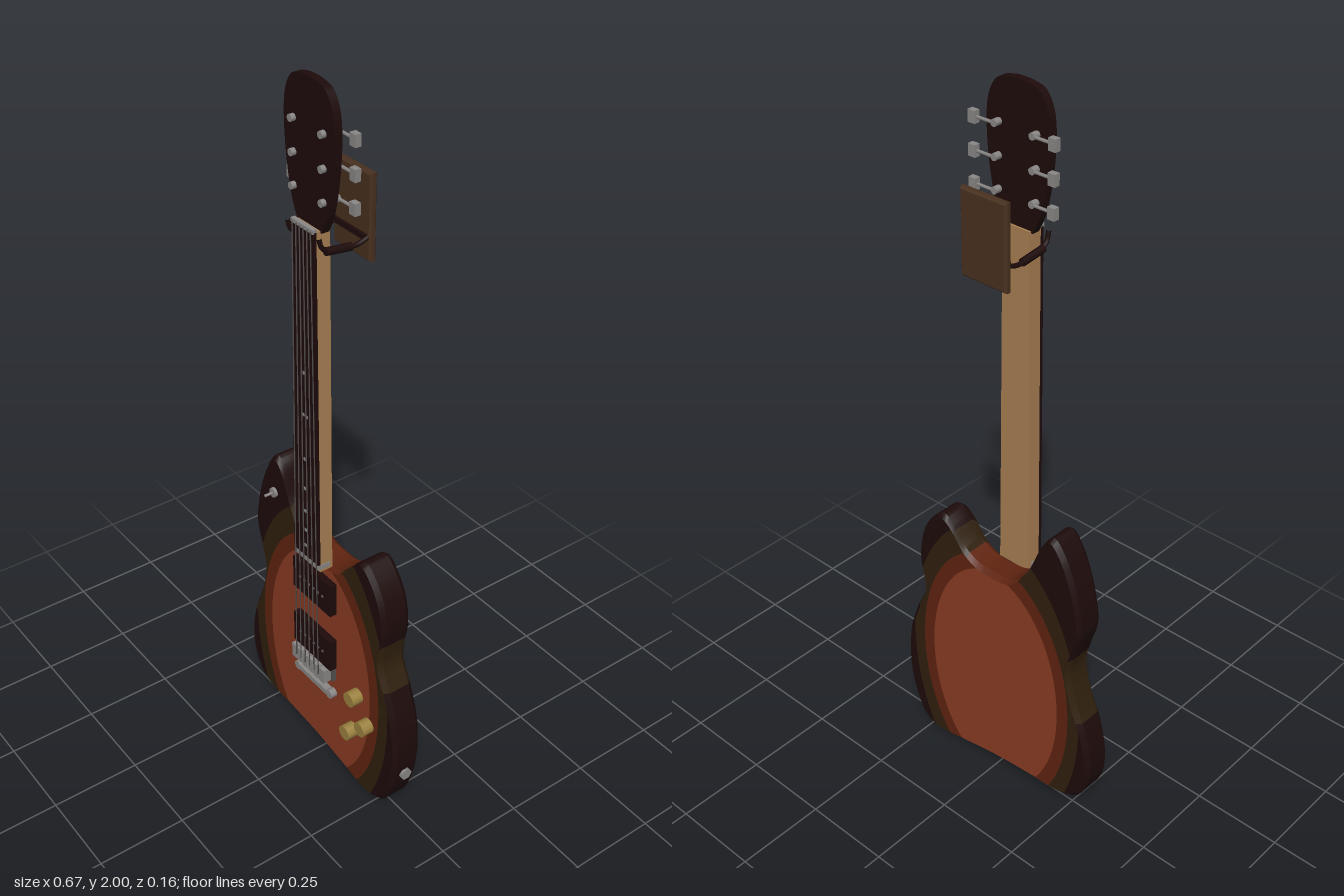
import * as THREE from 'three';
import { toCreasedNormals } from 'three/addons/utils/BufferGeometryUtils.js';

function paint(name, color, double = false) {
  const m = new THREE.MeshStandardMaterial({ color });
  m.name = name;
  if (double) m.side = THREE.DoubleSide;
  return m;
}

const V = (x, y) => new THREE.Vector2(x, y);

export function createModel() {
  const guitar = new THREE.Group();
  guitar.name = 'electricGuitar';
  const amber = paint('amber centre', 0x8a3c22);
  const red = paint('red brown', 0x602410);
  const olive = paint('dark olive', 0x30200e);
  const dark = paint('dark brown', 0x1e0b0b);
  const maple = paint('neck wood', 0xa87e52);
  const gold = paint('gold', 0x9c8240);
  const metal = paint('metal', 0x8a8886);
  const stringGrey = paint('string grey', 0x565050);
  const plateBrown = paint('hanger wood', 0x48301e);

  function add(name, geometry, material, x = 0, y = 0, z = 0, parent = guitar) {
    const mesh = new THREE.Mesh(geometry, material);
    mesh.name = name;
    mesh.position.set(x, y, z);
    parent.add(mesh);
    return mesh;
  }
  const box = (name, m, w, h, d, x, y, z, parent) =>
    add(name, new THREE.BoxGeometry(w, h, d), m, x, y, z, parent);
  // Cylinder along the x, y or z axis
  function rod(name, m, r, length, axis, x, y, z, sides = 10) {
    const g = new THREE.CylinderGeometry(r, r, length, sides);
    if (axis === 'x') g.rotateZ(Math.PI / 2);
    if (axis === 'z') g.rotateX(Math.PI / 2);
    return add(name, g, m, x, y, z);
  }

  // Body: rays from the centre of the sunburst out to the outline
  const outline = [
    [-.196, .905], [-.228, .87], [-.256, .81], [-.28, .73], [-.29, .65], [-.272, .58], [-.258, .51],
    [-.28, .41], [-.315, .32], [-.334, .23], [-.328, .15], [-.295, .085], [-.25, .061],
    [-.13, .05], [0, .037], [.12, .018], [.22, .004], [.275, .024], [.312, .095],
    [.334, .2], [.328, .32], [.296, .42], [.262, .5], [.264, .555], [.274, .62],
    [.262, .70], [.222, .767], [.185, .794], [.153, .773], [.106, .718], [.06, .695],
    [0, .692], [-.05, .699], [-.088, .727], [-.132, .80], [-.172, .888]
  ].map(p => new THREE.Vector3(p[0], p[1], 0));
  const curve = new THREE.CatmullRomCurve3(outline, true, 'centripetal');
  const cy = .33, N = 288, bevel = .013, front = .04, back = -.047;
  const ellipses = [[.225, .365], [.262, .414], [.30, .5]];
  const rays = curve.getPoints(N).map(p => {
    const dx = p.x, dy = p.y - cy, r = Math.hypot(dx, dy);
    const c = dx / r, s = dy / r, edge = r - bevel;
    const radii = ellipses.map(([a, b]) => 1 / Math.hypot(c / a, s / b));
    return { c, s, r, edge, radii, rings: [0, ...radii.map(q => Math.min(q, edge)), edge] };
  });
  const bandMaterials = [amber, red, olive, dark];
  const bandNames = ['bodyCentre', 'bodyRedBand', 'bodyOliveBand', 'bodyDarkEdge'];
  const bands = [[], [], [], []];
  const at = (ray, r, z) => [ray.c * r, cy + ray.s * r, z];
  function quad(band, a, b, c, d) {
    bands[band].push(...a, ...b, ...c, ...a, ...c, ...d);
  }
  for (let i = 0; i < N; i++) {
    const a = rays[i], b = rays[i + 1];
    for (let k = 0; k < 4; k++) {
      const [a0, a1, b0, b1] = [a.rings[k], a.rings[k + 1], b.rings[k], b.rings[k + 1]];
      if (a1 - a0 < 1e-5 && b1 - b0 < 1e-5) continue;
      quad(k, at(a, a0, front), at(a, a1, front), at(b, b1, front), at(b, b0, front));
      quad(k, at(a, a0, back), at(b, b0, back), at(b, b1, back), at(a, a1, back));
    }
    // Bevels and side wall take the band the outline lies in
    const side = a.r < a.radii[1] ? 1 : a.r < a.radii[2] ? 2 : 3;
    const profile = [[-bevel, front], [0, front - bevel], [0, back + bevel], [-bevel, back]];
    for (let k = 0; k < 3; k++) {
      const [p, z0] = profile[k], [q, z1] = profile[k + 1];
      quad(side, at(a, a.r + p, z0), at(a, a.r + q, z1), at(b, b.r + q, z1), at(b, b.r + p, z0));
    }
  }
  bands.forEach((positions, k) => {
    const g = new THREE.BufferGeometry();
    g.setAttribute('position', new THREE.Float32BufferAttribute(positions, 3));
    add(bandNames[k], toCreasedNormals(g, .5), bandMaterials[k]);
  });

  // Neck and fingerboard, tapering toward the nut
  const mid = -.004;
  function tapered(name, m, y0, y1, w0, w1, z0, z1) {
    const shape = new THREE.Shape([V(-w0, y0), V(w0, y0), V(w1, y1), V(-w1, y1)]);
    add(name, new THREE.ExtrudeGeometry(shape, { depth: z1 - z0, bevelEnabled: false }), m, mid, 0, z0);
  }
  tapered('neck', maple, .69, 1.655, .05, .041, .03, .069);
  tapered('fingerboard', dark, .715, 1.655, .052, .043, .069, .076);
  box('fingerboardEnd', metal, .104, .014, .036, mid, .706, .057);
  box('nut', metal, .086, .01, .012, mid, 1.657, .073);

  // Position marks
  for (const [x, y] of [[0, 1.27], [-.008, 1.15], [.008, 1.15], [0, 1.02], [0, .93],
    [0, .86], [0, .80], [0, .75]]) {
    box('fretMarker', metal, .012, .008, .002, mid + x, y, .0765);
  }

  // Headstock
  const half = [[.046, 1.65], [.068, 1.70], [.085, 1.78], [.093, 1.87], [.088, 1.94], [.065, 1.985], [.03, 1.998]];
  const head = new THREE.Shape();
  head.moveTo(-.046, 1.65);
  head.lineTo(.046, 1.65);
  head.splineThru([...half.slice(1).map(p => V(p[0], p[1])), V(0, 2),
    ...half.map(p => V(-p[0], p[1])).reverse()]);
  add('headstock', new THREE.ExtrudeGeometry(head, { depth: .021, bevelEnabled: false, curveSegments: 40 }),
    dark, mid, 0, .036);

  // Tuners, three on each side
  for (const s of [-1, 1]) for (const y of [1.73, 1.81, 1.89]) {
    rod('tunerPost', metal, .009, .052, 'z', mid + s * .056, y, .043);
    rod('tunerShaft', metal, .004, .055, 'x', mid + s * .083, y, .02, 6);
    box('tunerKnob', metal, .021, .03, .016, mid + s * .118, y, .02);
  }

  // Strings
  for (let i = 0; i < 6; i++) {
    const t = i / 5 - .5;
    const path = new THREE.LineCurve3(new THREE.Vector3(mid + t * .1, .34, .077),
      new THREE.Vector3(mid + t * .07, 1.657, .08));
    add('string', new THREE.TubeGeometry(path, 1, .0018, 5), stringGrey);
  }

  // Pickups with pole pieces
  for (const y of [.606, .415]) {
    box('pickup', dark, .165, .1, .022, mid, y, .05);
    for (let i = 0; i < 6; i++)
      rod('polePiece', stringGrey, .004, .004, 'z', mid + (i - 2.5) * .02, y, .062, 8);
  }

  // Bridge saddles and tailpiece
  box('bridgeBase', stringGrey, .16, .046, .012, mid, .343, .045);
  for (let i = 0; i < 6; i++) box('saddle', metal, .02, .044, .028, mid + (i - 2.5) * .025, .343, .062);
  box('tailpiece', metal, .15, .016, .02, mid, .272, .05);
  for (const s of [-1, 1]) rod('tailpieceStud', metal, .014, .02, 'z', mid + s * .072, .272, .049);

  // Control knobs
  for (const [x, y] of [[.175, .342], [.222, .27], [.157, .205]])
    rod('controlKnob', gold, .022, .034, 'z', x, y, .056, 12);

  // Strap button and output jack
  rod('strapButtonBase', metal, .014, .009, 'z', -.196, .79, .044);
  rod('strapButtonPin', metal, .004, .034, 'z', -.196, .79, .055, 8);
  rod('outputJack', metal, .018, .014, 'x', .331, .155, 0, 6);

  // Wall hanger: plate and two padded arms cradling the headstock
  const plate = new THREE.Shape([V(-.065, -.105), V(.065, -.105), V(.065, .105), V(-.065, .105)]);
  add('hangerPlate', new THREE.ExtrudeGeometry(plate,
    { depth: .01, bevelThickness: .005, bevelSize: .005, bevelSegments: 1 }), plateBrown, mid, 1.66, -.075);
  for (const s of [-1, 1]) {
    const x = mid + s * .06;
    const arm = new THREE.CatmullRomCurve3([[-.062, 1.612], [-.03, 1.602], [.01, 1.605], [.05, 1.612], [.068, 1.625], [.075, 1.65]]
      .map(p => new THREE.Vector3(x, p[1], p[0])));
    add('hangerArm', new THREE.TubeGeometry(arm, 20, .006, 8), dark);
    const pad = rod('hangerPad', dark, .01, .072, 'z', x, 1.607, .021);
    pad.rotation.x = -.12;
  }
  box('hangerCrossbar', dark, .12, .014, .01, mid, 1.612, -.057);
  return guitar;
}
